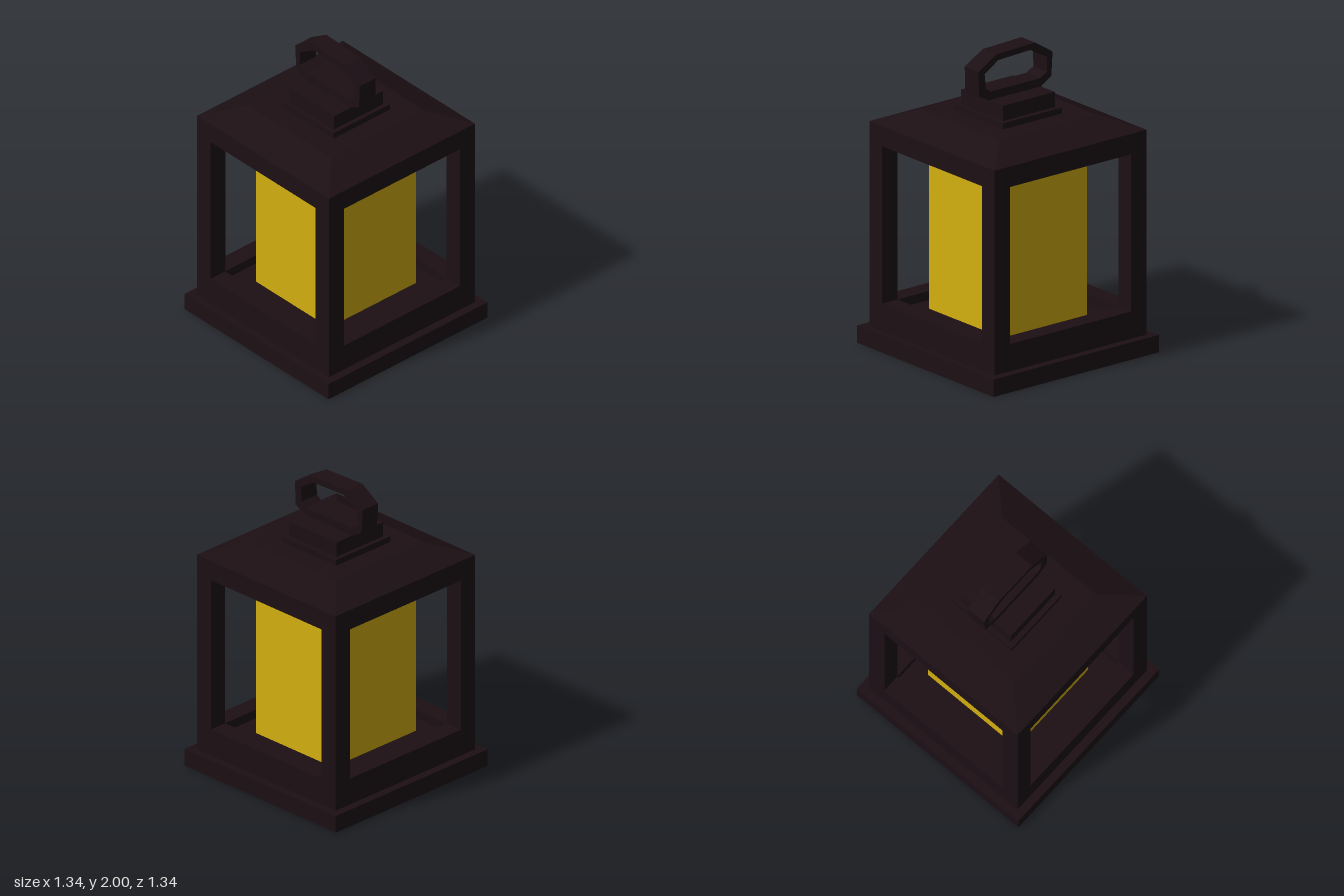
import * as THREE from 'three';

const metal = new THREE.MeshStandardMaterial({ color: 0x1c0f14, flatShading: true });
const wax = new THREE.MeshStandardMaterial({ color: 0xd4af0f, flatShading: true });

const OUT = 0.615; // half width of the frame
const IN = 0.49;   // half width of the openings

export function createModel() {
  const lantern = new THREE.Group();
  lantern.name = 'lantern';

  const add = (name, geometry, material = metal) => {
    const mesh = new THREE.Mesh(geometry, material);
    mesh.name = name;
    lantern.add(mesh);
    return mesh;
  };

  // Box centred on the axis, between two heights
  const block = (name, hx, hz, y0, y1, material) => {
    const mesh = add(name, new THREE.BoxGeometry(2 * hx, y1 - y0, 2 * hz), material);
    mesh.position.y = (y0 + y1) / 2;
    return mesh;
  };

  const polygon = (Type, points) => new Type(points.map(([x, y]) => new THREE.Vector2(x, y)));
  const square = (h) => [[-h, -h], [h, -h], [h, h], [-h, h]];

  // Square hollow rim, extruded upwards
  const rim = (name, y0, y1) => {
    const shape = polygon(THREE.Shape, square(OUT));
    shape.holes.push(polygon(THREE.Path, square(IN)));
    const geometry = new THREE.ExtrudeGeometry(shape, { depth: y1 - y0, bevelEnabled: false });
    geometry.rotateX(-Math.PI / 2);
    add(name, geometry).position.y = y0;
  };

  // Base with a sunken floor
  block('baseSlab', 0.67, 0.67, 0, 0.115);
  rim('lowerRim', 0.115, 0.295);
  block('floor', IN, IN, 0.115, 0.235);

  // Corner posts
  const w = OUT - IN;
  for (const sx of [-1, 1]) {
    for (const sz of [-1, 1]) {
      const post = add('cornerPost', new THREE.BoxGeometry(w, 1.04, w));
      post.position.set(sx * (IN + w / 2), 0.815, sz * (IN + w / 2));
    }
  }

  // Upper rim, recessed ceiling and sloping roof
  rim('upperRim', 1.335, 1.47);
  block('ceiling', IN, IN, 1.4, 1.47);
  const roof = new THREE.CylinderGeometry(0.39 * Math.SQRT2, OUT * Math.SQRT2, 0.09, 4);
  roof.rotateY(Math.PI / 4);
  add('roof', roof).position.y = 1.515;

  // Candle
  block('candle', 0.34, 0.365, 0.235, 1.4, wax);

  // Stepped cap
  block('capPlate', 0.24, 0.24, 1.56, 1.6);
  block('capBlock', 0.21, 0.205, 1.6, 1.7);

  // Carrying handle, slightly irregular
  const handle = polygon(THREE.Shape, [
    [-0.21, 1.7], [0.21, 1.7], [0.29, 1.745], [0.295, 1.905],
    [0.15, 1.99], [-0.165, 2.0], [-0.305, 1.91], [-0.295, 1.75],
  ]);
  handle.holes.push(polygon(THREE.Path, [
    [-0.2, 1.755], [0.2, 1.755], [0.235, 1.785], [0.245, 1.88],
    [0.135, 1.95], [-0.135, 1.96], [-0.258, 1.885], [-0.262, 1.785],
  ]));
  const handleGeometry = new THREE.ExtrudeGeometry(handle, { depth: 0.136, bevelEnabled: false });
  add('handle', handleGeometry).position.z = -0.068;

  return lantern;
}
